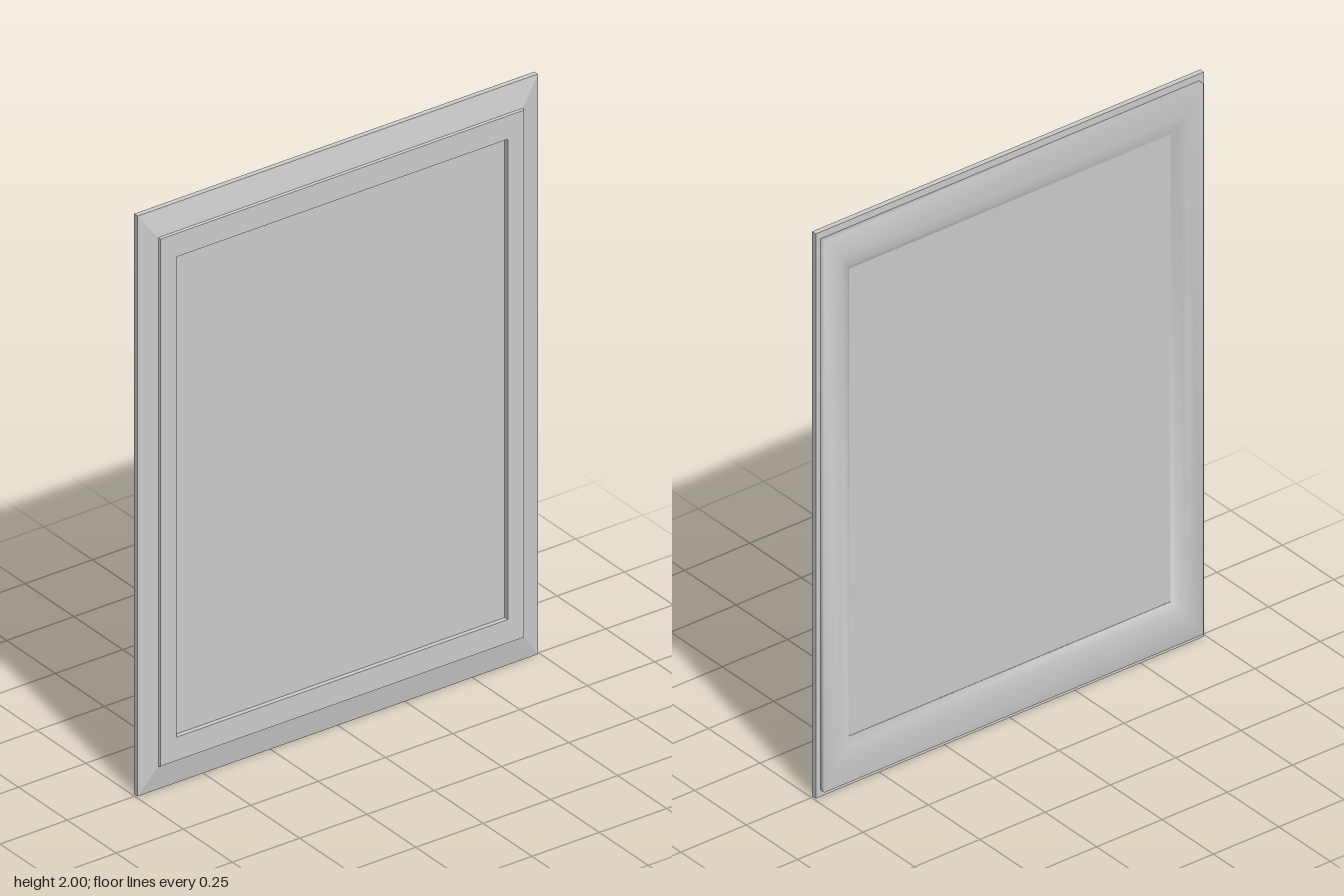
import * as THREE from 'three';

const HALF_W = 0.743;
const HALF_H = 1;

// Mitred rectangular sweep of a profile of [inset, z] points.
// The vertical insets grow with the frame's proportions.
function mitredRing(profile, smooth) {
  const positions = [];
  const index = [];
  const corners = [[-1, -1], [1, -1], [1, 1], [-1, 1]];
  for (const [inset, z] of profile) {
    const k = 1 - inset / HALF_W;
    for (const [sx, sy] of corners) positions.push(sx * HALF_W * k, HALF_H + sy * HALF_H * k, z);
  }
  for (let i = 0; i < profile.length - 1; i++) {
    for (let j = 0; j < 4; j++) {
      const a = i * 4 + j;
      const b = i * 4 + (j + 1) % 4;
      index.push(a, b, b + 4, a, b + 4, a + 4);
    }
  }
  let geometry = new THREE.BufferGeometry();
  geometry.setAttribute('position', new THREE.Float32BufferAttribute(positions, 3));
  geometry.setIndex(index);
  if (!smooth) geometry = geometry.toNonIndexed();
  geometry.computeVertexNormals();
  return geometry;
}

export function createModel() {
  const group = new THREE.Group();
  const material = new THREE.MeshStandardMaterial({ color: 0xcccccc });

  const add = (name, geometry) => {
    const mesh = new THREE.Mesh(geometry, material);
    mesh.name = name;
    group.add(mesh);
    return mesh;
  };

  // Front: thin rim, shallow bevel, raised inner border and opening wall
  add('frontFrame', mitredRing([
    [0.018, -0.012], [0, -0.012], [0, 0.006], [0.066, 0.021],
    [0.068, 0.029], [0.128, 0.029], [0.128, -0.012],
  ], false));

  // Back: softly shaded moulding that falls away towards the panel
  add('backMoulding', mitredRing([
    [0.128, -0.012], [0.108, -0.027], [0.08, -0.032], [0.018, -0.032], [0.018, -0.012],
  ], true));

  // Panel filling the opening, slightly recessed on the front
  const k = 1 - 0.128 / HALF_W;
  const panel = add('panel', new THREE.BoxGeometry(2 * HALF_W * k, 2 * HALF_H * k, 0.024));
  panel.position.set(0, HALF_H, 0.001);

  return group;
}
